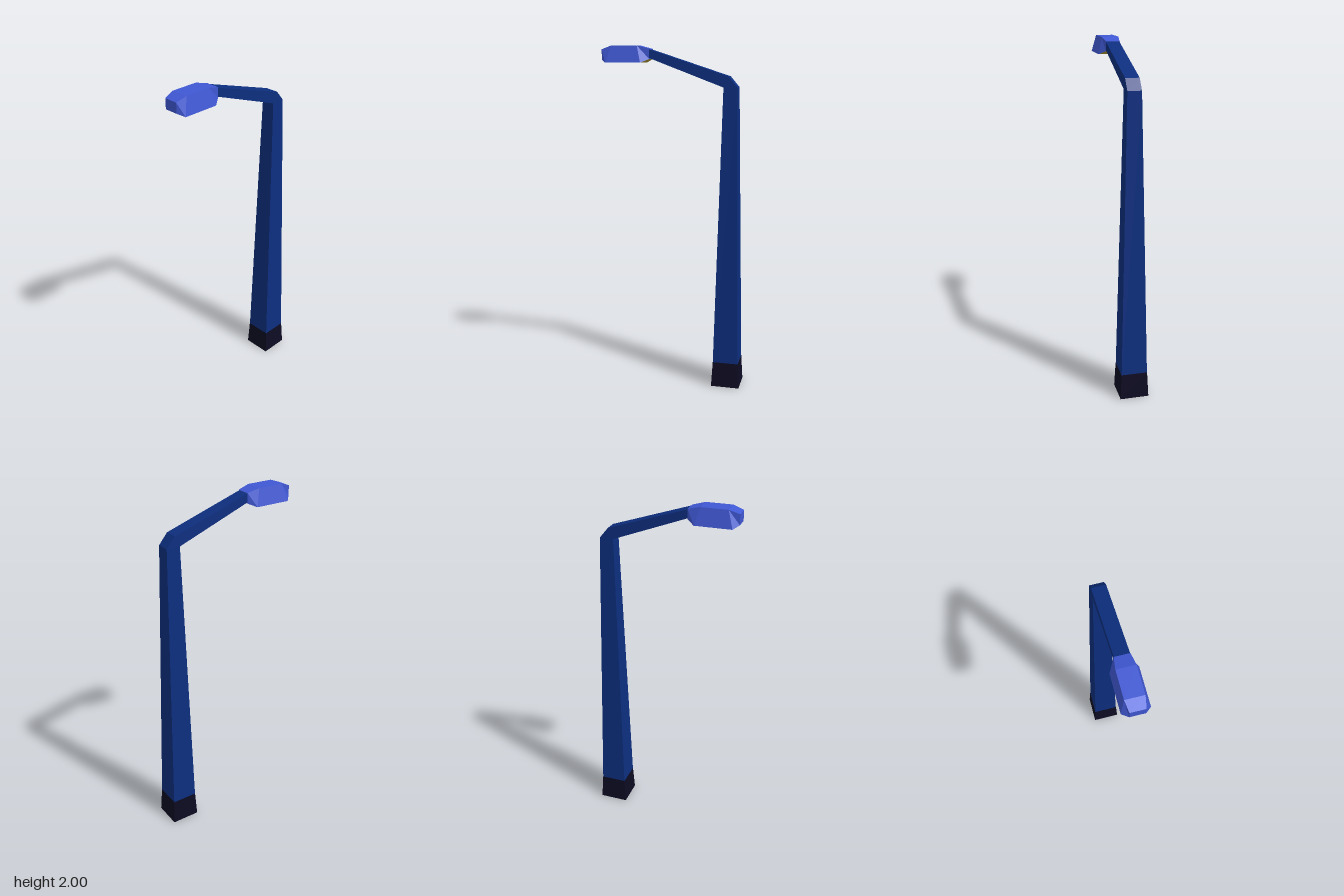
import * as THREE from 'three';

// Each section: inner/lower edge (x0, y0, half width h0), outer/upper edge (x1, y1, half width h1)
function ring([x0, y0, x1, y1, h0, h1]) {
  return [[x0, y0, h0], [x1, y1, h1], [x1, y1, -h1], [x0, y0, -h0]];
}

// Lofts four-cornered sections; the inner/lower side becomes material group 1
function loft(sections, capStart, capEnd) {
  const body = [], under = [];
  const quad = (list, a, b, c, d) => list.push(...a, ...b, ...c, ...a, ...c, ...d);
  const rings = sections.map(ring);
  for (let s = 0; s < rings.length - 1; s++) {
    const a = rings[s], b = rings[s + 1];
    for (let i = 0; i < 4; i++) {
      const j = (i + 1) % 4;
      quad(i === 3 ? under : body, a[i], a[j], b[j], b[i]);
    }
  }
  if (capStart) quad(body, ...[...rings[0]].reverse());
  if (capEnd) quad(body, ...rings[rings.length - 1]);
  const g = new THREE.BufferGeometry();
  g.setAttribute('position', new THREE.Float32BufferAttribute([...body, ...under], 3));
  g.addGroup(0, body.length / 3, 0);
  g.addGroup(body.length / 3, under.length / 3, 1);
  g.computeVertexNormals();
  return g;
}

export function createModel() {
  const material = (name, color) => {
    const m = new THREE.MeshStandardMaterial({ color, flatShading: true });
    m.name = name;
    return m;
  };
  const navy = material('navy paint', 0x0d2f80);
  const black = material('dark footing', 0x0d0b22);
  const blue = material('lamp blue', 0x4058d4);
  const yellow = material('light yellow', 0xb5a238);

  const model = new THREE.Group();
  model.name = 'streetLamp';
  const add = (name, geometry, side, underside) => {
    const mesh = new THREE.Mesh(geometry, [side, underside]);
    mesh.name = name;
    model.add(mesh);
  };

  // Tapered footing
  add('base', loft([
    [0.248, 0, 0.415, 0, 0.083, 0.083],
    [0.256, 0.15, 0.406, 0.15, 0.076, 0.076],
  ], true, true), black, black);

  // Tapered pole
  add('pole', loft([
    [0.256, 0.15, 0.406, 0.15, 0.075, 0.075],
    [0.291, 1.77, 0.37, 1.77, 0.039, 0.039],
  ], false, false), navy, navy);

  // Bevelled elbow and sloping arm
  add('arm', loft([
    [0.291, 1.77, 0.37, 1.77, 0.039, 0.039],
    [0.291, 1.77, 0.32, 1.83, 0.039, 0.039],
    [-0.135, 1.93, -0.135, 1.978, 0.039, 0.039],
  ], false, true), navy, navy);

  // Lamp head with a glowing underside
  add('lampHead', loft([
    [-0.135, 1.925, -0.135, 1.982, 0.04, 0.04],
    [-0.18, 1.905, -0.205, 2.0, 0.072, 0.05],
    [-0.386, 1.905, -0.357, 2.0, 0.072, 0.05],
    [-0.416, 1.922, -0.416, 1.98, 0.04, 0.04],
  ], true, true), blue, yellow);

  return model;
}
